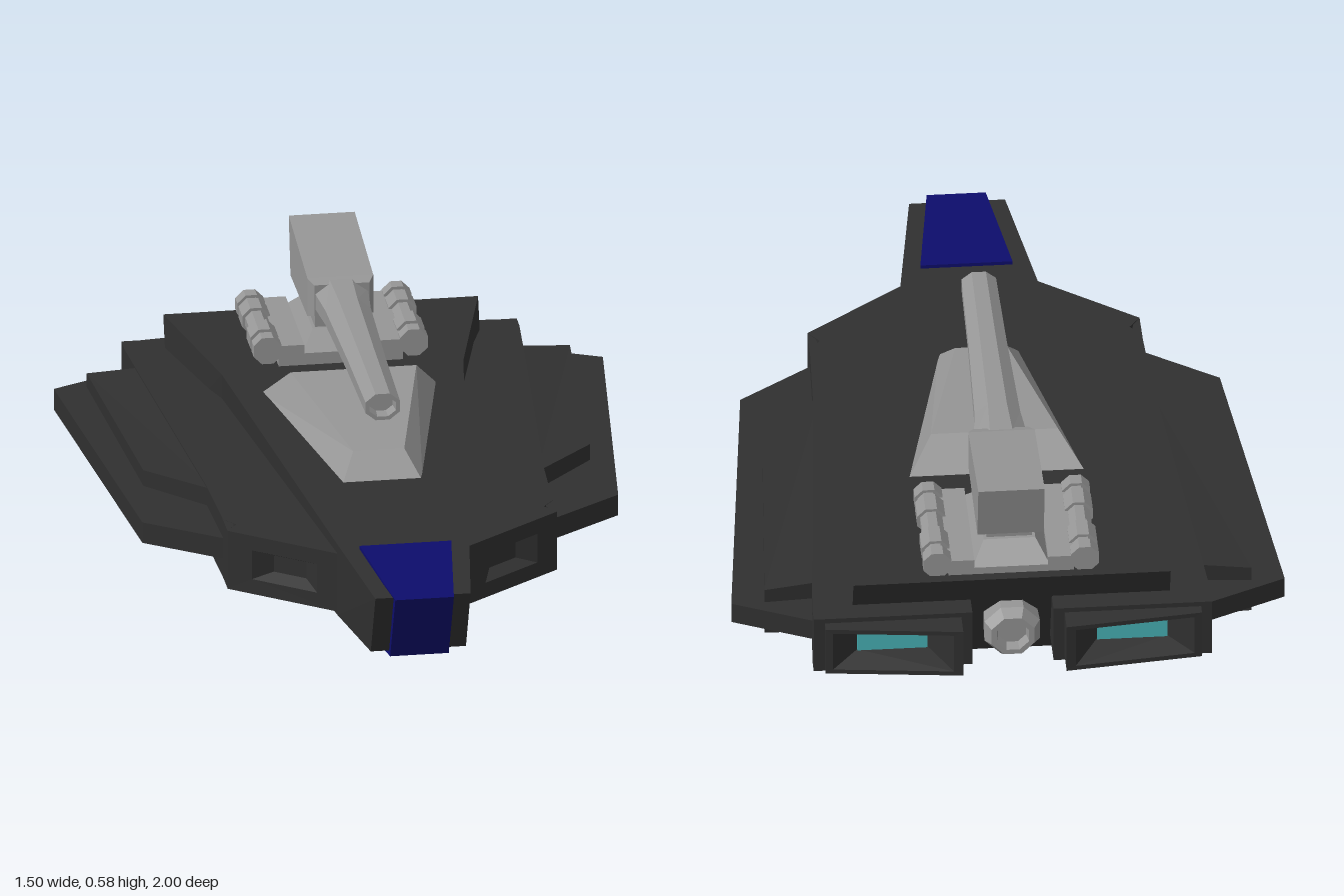
import * as THREE from 'three';

const material = (name, color) => {
  const m = new THREE.MeshStandardMaterial({ color });
  m.name = name;
  return m;
};

// Closed faceted solid through rings of [x, y, z] points, facing outwards
function loft(rings) {
  const tris = [];
  const n = rings[0].length;
  for (let r = 0; r < rings.length - 1; r++) {
    const a = rings[r], b = rings[r + 1];
    for (let i = 0; i < n; i++) {
      const j = (i + 1) % n;
      tris.push([a[i], a[j], b[j]], [a[i], b[j], b[i]]);
    }
  }
  const first = rings[0], last = rings[rings.length - 1];
  for (let i = 1; i < n - 1; i++) {
    tris.push([first[0], first[i + 1], first[i]], [last[0], last[i], last[i + 1]]);
  }
  // Signed volume tells whether the winding has to be turned round
  const v = tris.map((t) => t.map((p) => new THREE.Vector3(...p)));
  const volume = v.reduce((s, [a, b, c]) => s + a.dot(b.clone().cross(c)), 0);
  if (volume < 0) tris.forEach((t) => t.reverse());
  const g = new THREE.BufferGeometry();
  g.setAttribute('position', new THREE.Float32BufferAttribute(tris.flat(2), 3));
  g.computeVertexNormals();
  return g;
}

// Horizontal slab: outline of [x, z, halfThickness] about a middle height
const slab = (outline, y) =>
  loft([-1, 1].map((s) => outline.map(([x, z, h]) => [x, y + s * h, z])));

// Octagonal ring in the xy plane
const octagon = (cx, cy, z, rx, ry = rx) =>
  Array.from({ length: 8 }, (_, i) => {
    const a = ((i + 0.5) * Math.PI) / 4, k = 1 / Math.cos(Math.PI / 8);
    return [cx + rx * k * Math.cos(a), cy + ry * k * Math.sin(a), z];
  });

// Upright rectangle from x0 to x1, with its own z at each end
const panel = (x0, x1, y0, y1, z0, z1 = z0) =>
  [[x0, y0, z0], [x1, y0, z1], [x1, y1, z1], [x0, y1, z0]];

export function createModel() {
  const root = new THREE.Group();
  root.name = 'hoverTank';
  const hullPaint = material('darkHull', 0x303030);
  const metal = material('lightMetal', 0x969696);
  const blue = material('nosePaint', 0x0d0d6c);
  const glow = material('engineGlow', 0x48b4b8);

  const add = (name, geometry, mat, parent = root) => {
    const mesh = new THREE.Mesh(geometry, mat);
    mesh.name = name;
    parent.add(mesh);
    return mesh;
  };

  // Central hull: [zTop, zBottom, halfWidth, yTop, yBottom]
  const stations = [
    [0.97, 0.885, 0.13, 0.235, 0.045],
    [0.61, 0.61, 0.18, 0.247, 0.04],
    [-0.5, -0.5, 0.33, 0.29, 0.01],
    [-0.9, -0.79, 0.43, 0.305, 0],
  ];
  add('hull', loft(stations.map(([zt, zb, w, yt, yb]) =>
    [[-w, yb, zb], [w, yb, zb], [w, yt, zt], [-w, yt, zt]])), hullPaint);

  // Blue band wrapped over the nose: [halfWidth, outer y, z, inner y, z]
  const band = [
    [0.125, 0.256, 0.65, 0.235, 0.65],
    [0.08, 0.24, 1.0, 0.225, 0.955],
    [0.08, 0.036, 0.905, 0.055, 0.87],
    [0.125, 0.027, 0.65, 0.05, 0.65],
  ];
  add('noseBand', loft(band.map(([w, yo, zo, yi, zi]) =>
    [[-w, yo, zo], [w, yo, zo], [w, yi, zi], [-w, yi, zi]])), blue);

  // Side wings and engines, mirrored
  for (const s of [1, -1]) {
    const side = new THREE.Group();
    side.name = s > 0 ? 'leftSide' : 'rightSide';
    root.add(side);
    const mirror = (pts) => pts.map(([x, ...rest]) => [s * x, ...rest]);

    const core = [[0.11, -0.5], [0.15, 0.57], [0.42, 0.37], [0.45, 0.33],
      [0.46, 0.1], [0.53, -0.75], [0.54, -0.88], [0.11, -0.88]];
    add('wingCore', slab(mirror(core.map((p) => [...p, 0.085])), 0.135), hullPaint, side);

    // Slanted front wall with a recessed intake
    add('intake', loft([
      panel(0.15, 0.42, 0.05, 0.22, 0.57, 0.37),
      panel(0.45, 0.45, 0.05, 0.22, 0.33, 0.41).map((p, i) =>
        (i === 0 || i === 3 ? [0.18, p[1], 0.61] : p)),
      panel(0.23, 0.39, 0.093, 0.177, 0.573, 0.454),
      panel(0.25, 0.33, 0.11, 0.158, 0.51, 0.451),
    ].map(mirror)), hullPaint, side);
    add('wingCheek', slab(mirror([[0.43, 0.38, 0.084], [0.45, 0.41, 0.084],
      [0.451, 0.32, 0.084], [0.42, 0.33, 0.084]]), 0.135), hullPaint, side);

    add('wingStep', slab(mirror([[0.44, 0.12, 0.082], [0.61, -0.06, 0.076],
      [0.66, -0.76, 0.07], [0.5, -0.75, 0.083]]), 0.135), hullPaint, side);
    add('wingEdge', slab(mirror([[0.4, 0.36, 0.03], [0.45, 0.33, 0.03], [0.65, 0.19, 0.03],
      [0.75, -0.76, 0.03], [0.53, -0.86, 0.03], [0.4, -0.86, 0.03]]), 0.135), hullPaint, side);

    // Engine housing narrowing inwards to a glowing panel
    add('engineHousing', loft([
      panel(0.11, 0.54, 0.05, 0.22, -0.88),
      panel(0.11, 0.54, 0.05, 0.22, -0.93),
      panel(0.14, 0.51, 0.062, 0.206, -0.93),
      panel(0.14, 0.51, 0.062, 0.206, -1.0, -0.96),
      panel(0.165, 0.49, 0.075, 0.193, -0.997, -0.962),
      panel(0.23, 0.42, 0.095, 0.173, -0.9),
    ].map(mirror)), hullPaint, side);
    add('engineGlow', new THREE.BoxGeometry(0.19, 0.078, 0.006), glow, side)
      .position.set(s * 0.325, 0.134, -0.903);

    // Turret side bank: inner plate and a ribbed drum
    add('bankPlate', new THREE.BoxGeometry(0.07, 0.06, 0.34), metal, side)
      .position.set(s * 0.135, 0.32, -0.7);
    const drum = (name, z0, z1, r) =>
      add(name, loft([octagon(s * 0.2, 0.338, z0, r), octagon(s * 0.2, 0.338, z1, r)]), metal, side);
    drum('bankDrum', -0.535, -0.865, 0.03);
    for (const [z0, z1] of [[-0.53, -0.57], [-0.59, -0.66], [-0.74, -0.81], [-0.83, -0.87]]) {
      drum('drumRib', z0, z1, 0.038);
    }
  }

  // Octagonal exhaust between the engines
  add('centreExhaust', loft([
    octagon(0, 0.135, -0.78, 0.07), octagon(0, 0.135, -0.9, 0.075),
    octagon(0, 0.135, -0.93, 0.058), octagon(0, 0.135, -0.93, 0.044),
    octagon(0, 0.135, -0.9, 0.038),
  ]), metal);

  // Sloped fairing on the deck
  const trapezoid = (wf, yf, zf, wb, yb, zb) =>
    [[-wf, yf, zf], [wf, yf, zf], [wb, yb, zb], [-wb, yb, zb]];
  add('deckFairing', loft([
    trapezoid(0.11, 0.255, 0.23, 0.24, 0.28, -0.38),
    trapezoid(0.07, 0.325, 0.16, 0.172, 0.37, -0.3),
  ]), metal);

  // Turret base, neck and head
  add('turretBase', loft([
    trapezoid(0.11, 0.28, -0.53, 0.11, 0.29, -0.87),
    trapezoid(0.105, 0.325, -0.53, 0.105, 0.325, -0.87),
    trapezoid(0.07, 0.375, -0.58, 0.07, 0.375, -0.81),
  ]), metal);
  add('turretNeck', new THREE.BoxGeometry(0.124, 0.08, 0.21), metal).position.set(0, 0.4, -0.695);
  add('turretHead', loft([
    panel(-0.075, 0.075, 0.44, 0.53, -0.512),
    panel(-0.09, 0.09, 0.429, 0.54, -0.54),
    [[-0.09, 0.42, -0.85], [0.09, 0.42, -0.85], [0.09, 0.582, -0.88], [-0.09, 0.582, -0.88]],
  ]), metal);

  // Tapered gun barrel with a hollow muzzle: [z, half width, half height]
  const barrel = [
    [-0.53, 0.074, 0.054], [-0.4, 0.062, 0.05], [-0.06, 0.052, 0.042],
    [0.235, 0.047, 0.038], [0.235, 0.036, 0.028], [0.2, 0.032, 0.025],
  ];
  add('gunBarrel', loft(barrel.map(([z, rx, ry]) => octagon(0, 0.482, z, rx, ry))), metal);

  return root;
}
